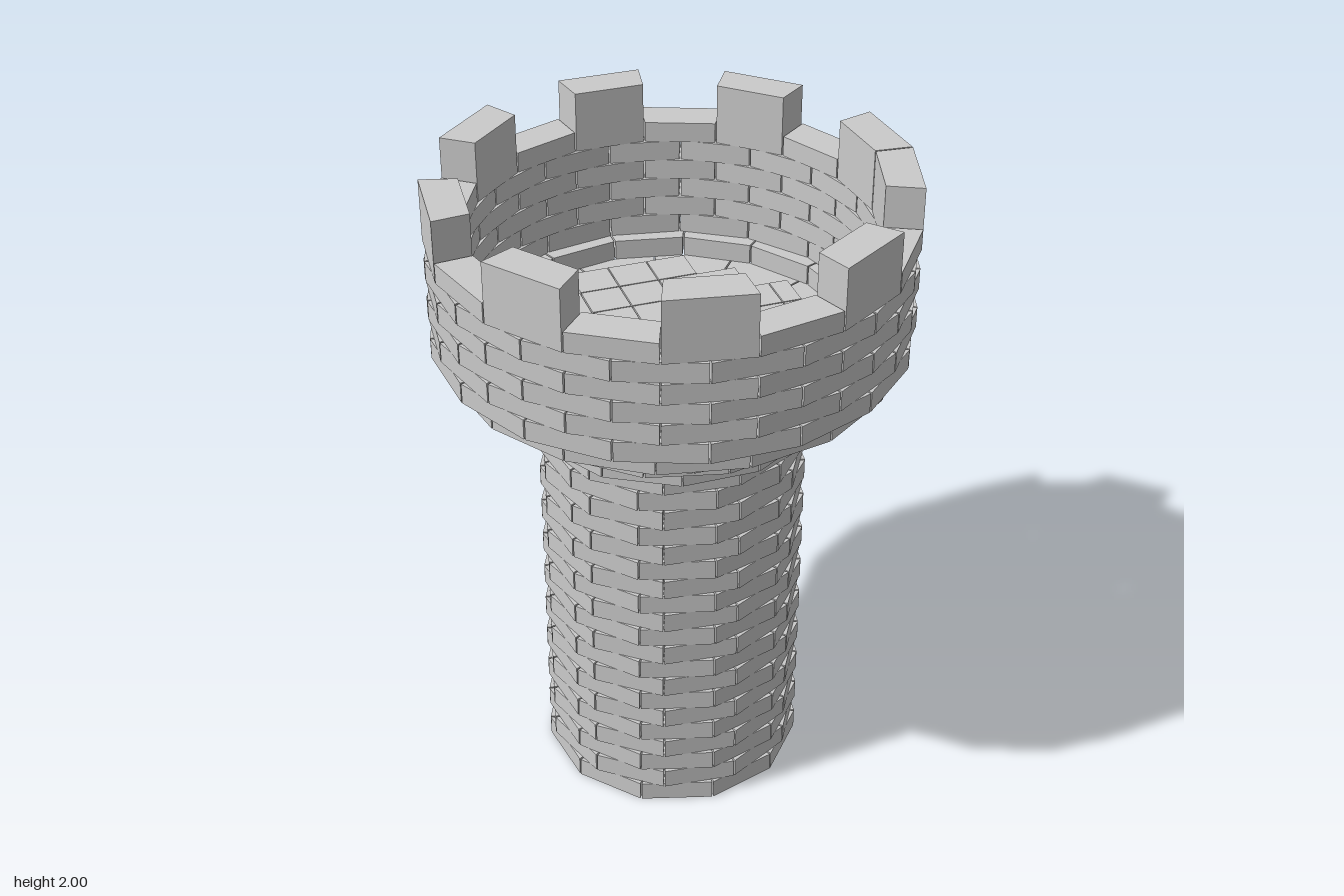
import * as THREE from 'three';
import { mergeGeometries } from 'three/addons/utils/BufferGeometryUtils.js';

const stone = new THREE.MeshStandardMaterial({ color: 0xcccccc, flatShading: true });
const COURSE = 0.0625;
const GAP = 0.005; // open joint between bricks

// One wedge-shaped brick; angles run from +z towards +x
function brick(rIn, rOut, from, to, y, height) {
  const corner = (r, a, side) => {
    const b = a + side * GAP / 2 / r;
    return new THREE.Vector2(r * Math.sin(b), -r * Math.cos(b));
  };
  const shape = new THREE.Shape([
    corner(rOut, from, 1), corner(rOut, to, -1), corner(rIn, to, -1), corner(rIn, from, 1),
  ]);
  const geo = new THREE.ExtrudeGeometry(shape, { depth: height, bevelEnabled: false });
  return geo.rotateX(-Math.PI / 2).translate(0, y, 0);
}

// A ring of bricks; 'keep' picks which of them are laid
function ring(name, { rIn, rOut, count, y, height = COURSE, start = 0, keep = () => true }) {
  const step = 2 * Math.PI / count;
  const bricks = [];
  for (let i = 0; i < count; i++) {
    if (keep(i)) bricks.push(brick(rIn, rOut, start + i * step, start + (i + 1) * step, y, height));
  }
  const mesh = new THREE.Mesh(mergeGeometries(bricks), stone);
  mesh.name = name;
  return mesh;
}

export function createModel() {
  const tower = new THREE.Group();
  tower.name = 'tower';

  // Shaft: twenty courses with staggered joints
  const shaft = new THREE.Group();
  shaft.name = 'shaft';
  for (let i = 0; i < 20; i++) {
    shaft.add(ring('shaftCourse', {
      rIn: 0.337, rOut: 0.403, count: 11, y: i * COURSE,
      start: i % 2 ? THREE.MathUtils.degToRad(10.5) : 0,
    }));
  }
  tower.add(shaft);

  // Flare: four courses stepping outwards
  const flare = new THREE.Group();
  flare.name = 'flare';
  [[0.337, 0.447, 12], [0.39, 0.5, 13], [0.45, 0.565, 14], [0.553, 0.66, 16]].forEach(([rIn, rOut, count], i) => {
    flare.add(ring('flareCourse', {
      rIn, rOut, count, y: 1.25 + i * COURSE, start: i % 2 ? 0 : Math.PI / count,
    }));
  });
  tower.add(flare);

  // Parapet: six staggered courses
  const crown = { rIn: 0.593, rOut: 0.704, count: 17 };
  const parapet = new THREE.Group();
  parapet.name = 'parapet';
  for (let i = 0; i < 6; i++) {
    parapet.add(ring('parapetCourse', {
      ...crown, y: 1.5 + i * COURSE, start: i % 2 ? 0 : Math.PI / crown.count,
    }));
  }
  tower.add(parapet);

  // Battlements: every second brick, counted round from the +x side
  tower.add(ring('battlements', {
    ...crown, y: 1.875, height: 0.125,
    keep: (i) => ((i + crown.count - 4) % crown.count) % 2 === 0,
  }));

  // Floor: stepped rows of slabs, mirrored front to back
  const cuts = [-0.167, -0.042, 0.084, 0.398];
  const spans = [[-0.48, 0.52], [-0.48, 0.46], [-0.355, 0.335], [-0.167, 0.21]];
  const slabs = [];
  spans.forEach(([x0, x1], row) => {
    const edges = [x0, ...cuts.filter((c) => c > x0 && c < x1), x1];
    for (const side of [-1, 1]) {
      for (let i = 0; i + 1 < edges.length; i++) {
        slabs.push(new THREE.BoxGeometry(edges[i + 1] - edges[i] - 0.004, COURSE, 0.121)
          .translate((edges[i] + edges[i + 1]) / 2, 1.412, side * (row + 0.5) * 0.125));
      }
    }
  });
  const floor = new THREE.Mesh(mergeGeometries(slabs), stone);
  floor.name = 'floor';
  tower.add(floor);

  return tower;
}
